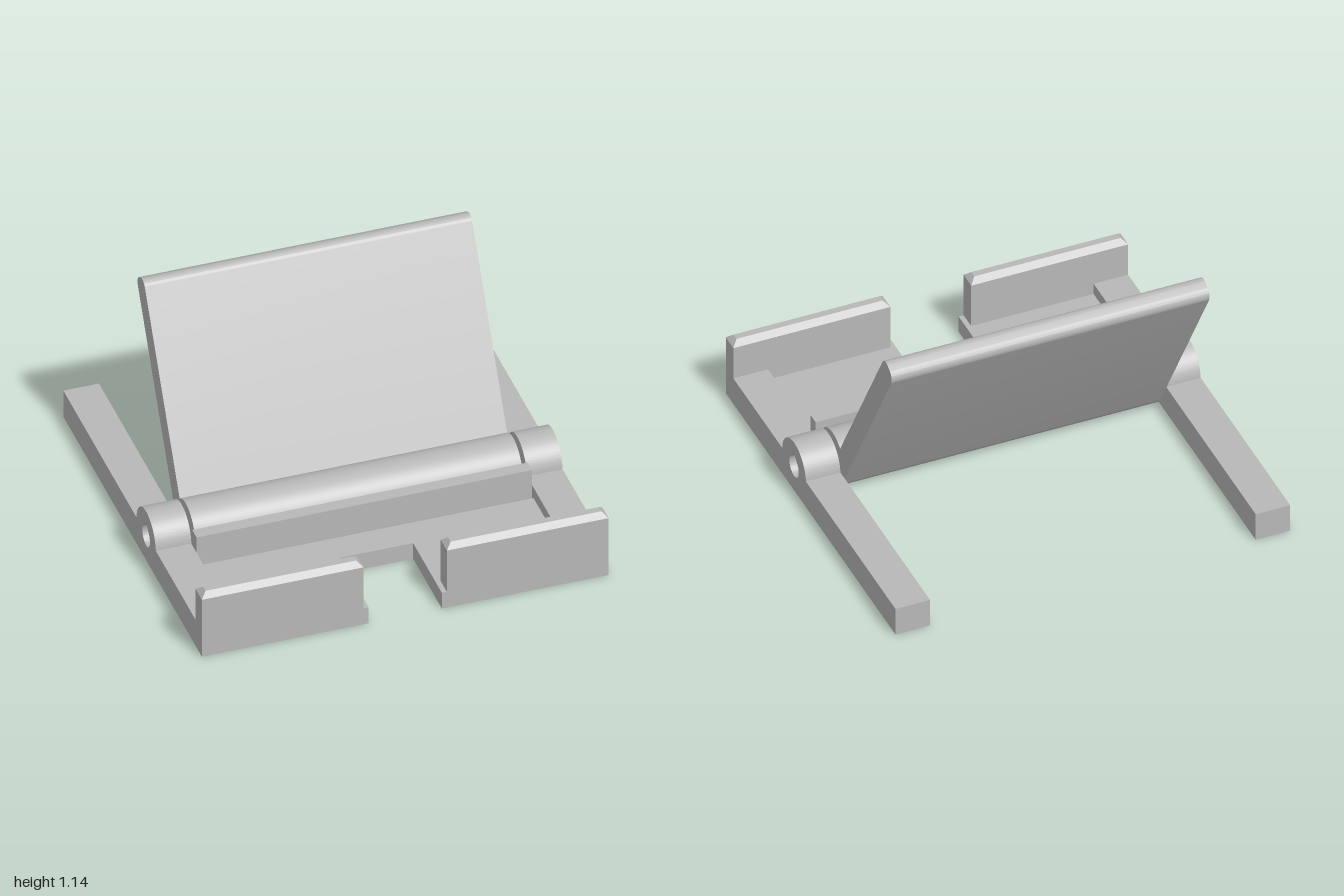
import * as THREE from 'three';
import { toCreasedNormals } from 'three/addons/utils/BufferGeometryUtils.js';
import { ConvexGeometry } from 'three/addons/geometries/ConvexGeometry.js';

const R = 0.14;            // hinge radius
const HINGE_Z = 0.195, HINGE_Y = 0.14;

// Teardrop pin hole, its tip turned by angle a from +y
function pinHole(x, y, a = 0) {
  const r = 0.055, tip = r * Math.SQRT2 * 0.97;
  const hole = new THREE.Path();
  hole.absarc(x, y, r, Math.PI * 0.75 + a, Math.PI * 2.25 + a, false);
  hole.lineTo(x - Math.sin(a) * tip, y + Math.cos(a) * tip);
  hole.closePath();
  return hole;
}

function extrude(shape, depth) {
  return new THREE.ExtrudeGeometry(shape, { depth, bevelEnabled: false, curveSegments: 32 });
}

// Block with a chamfered top edge
function chamferedBlock(x0, x1, y0, y1, z0, z1, c) {
  const pts = [];
  for (const [y, inset] of [[y0, 0], [y1 - c, 0], [y1, c]])
    for (const x of [x0 + inset, x1 - inset])
      for (const z of [z0 + inset, z1 - inset]) pts.push(new THREE.Vector3(x, y, z));
  return new ConvexGeometry(pts);
}

export function createModel() {
  const model = new THREE.Group();
  model.name = 'foldingStand';
  const grey = new THREE.MeshStandardMaterial({ color: 0xb8b8b8 });
  grey.name = 'plastic grey';

  const add = (name, geometry) => {
    const mesh = new THREE.Mesh(geometry, grey);
    mesh.name = name;
    model.add(mesh);
    return mesh;
  };
  const box = (name, x0, x1, y0, y1, z0, z1) =>
    add(name, new THREE.BoxGeometry(x1 - x0, y1 - y0, z1 - z0)
      .translate((x0 + x1) / 2, (y0 + y1) / 2, (z0 + z1) / 2));

  // Side rails with hinge bosses, profile drawn in (-z, y)
  const rail = new THREE.Shape();
  const dip = Math.asin((0.15 - HINGE_Y) / R);
  rail.moveTo(-1, 0);
  rail.lineTo(1, 0);
  rail.lineTo(1, 0.15);
  rail.absarc(-HINGE_Z, HINGE_Y, R, dip, Math.PI - dip, false);
  rail.lineTo(-1, 0.15);
  rail.closePath();
  rail.holes.push(pinHole(-HINGE_Z, HINGE_Y));
  const railGeo = toCreasedNormals(extrude(rail, 0.175).rotateY(Math.PI / 2), 0.5);
  add('leftRail', railGeo.clone().translate(0.825, 0, 0));
  add('rightRail', railGeo.clone().translate(-1, 0, 0));

  // Front tray with cable notch
  const tray = new THREE.Shape();
  [[-0.825, -1], [-0.18, -1], [-0.18, -0.585], [0.18, -0.585], [0.18, -1], [0.825, -1],
    [0.825, -0.43], [-0.825, -0.43]].forEach(([x, y], i) => (i ? tray.lineTo(x, y) : tray.moveTo(x, y)));
  tray.closePath();
  add('tray', extrude(tray, 0.09).rotateX(-Math.PI / 2));

  // Front lips either side of the notch
  add('leftLip', chamferedBlock(0.205, 1, 0, 0.355, 0.91, 1, 0.027));
  add('rightLip', chamferedBlock(-1, -0.205, 0, 0.355, 0.91, 1, 0.027));

  // Cross bar in front of the hinge, with a slim ridge on its back
  box('crossBar', -0.825, 0.825, 0, 0.238, 0.347, 0.41);
  box('crossBarRidge', -0.75, 0.75, 0.1, 0.155, 0.338, 0.347);

  // Backrest and hinge barrel in one profile, then leaned back
  const lean = Math.PI / 6, L = 1.185, f = 0.045, front = 0.023;
  const rest = new THREE.Shape();
  rest.moveTo(R, 0);
  rest.lineTo(R, L - f);
  rest.absarc(R - f, L - f, f, 0, Math.PI / 2, false);
  rest.absarc(front + f, L - f, f, Math.PI / 2, Math.PI, false);
  rest.lineTo(front, Math.sqrt(R * R - front * front));
  rest.absarc(0, 0, R, Math.acos(front / R), Math.PI * 2, false);
  rest.holes.push(pinHole(0, 0, lean));
  const restGeo = extrude(rest, 1.61)
    .rotateZ(-lean)
    .translate(-HINGE_Z, HINGE_Y, -0.805)
    .rotateY(Math.PI / 2);
  add('backrest', toCreasedNormals(restGeo, 0.5));

  return model;
}
